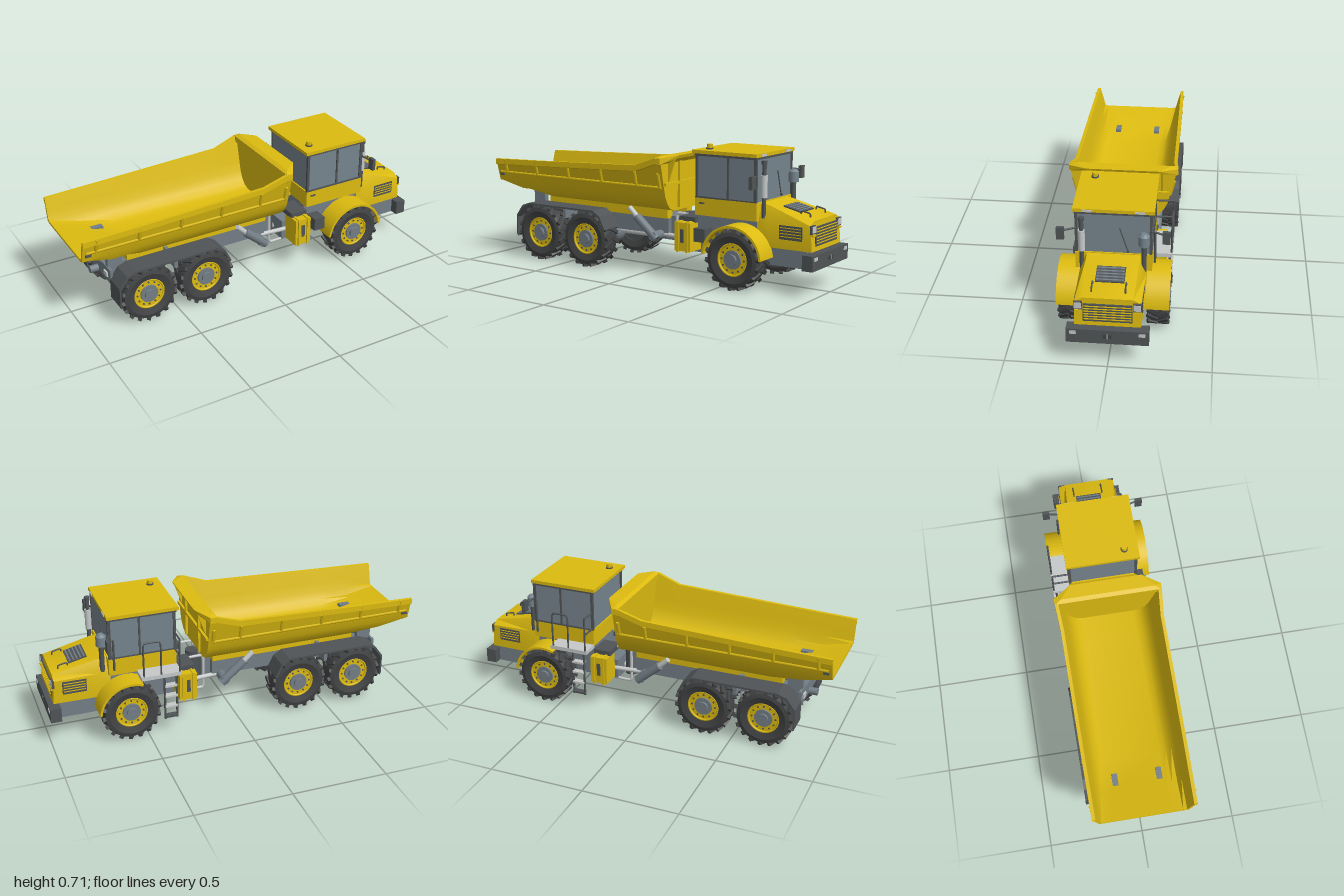
import * as THREE from 'three';
import { mergeGeometries, toCreasedNormals } from 'three/addons/utils/BufferGeometryUtils.js';
import { ConvexGeometry } from 'three/addons/geometries/ConvexGeometry.js';

const mat = (name, color, side = THREE.FrontSide) => {
  const m = new THREE.MeshStandardMaterial({ color, side });
  m.name = name;
  return m;
};
const V = (x, y, z) => new THREE.Vector3(x, y, z);
const SIDES = [1, -1];

export function createModel() {
  const yellow = mat('yellowPaint', 0xdcbb10, THREE.DoubleSide);
  const grey = mat('chassisGrey', 0x737e86);
  const glass = mat('glass', 0x76848d);
  const dark = mat('darkTrim', 0x505456, THREE.DoubleSide);
  const rubber = mat('rubber', 0x424344, THREE.DoubleSide);
  const light = mat('lightGrey', 0xc6c9c9);

  const truck = new THREE.Group();
  truck.name = 'dumpTruck';
  const add = (name, geo, m, parent = truck) => {
    const mesh = new THREE.Mesh(geo, m);
    mesh.name = name;
    parent.add(mesh);
    return mesh;
  };
  // box from its limits
  const box = (name, m, x0, x1, y0, y1, z0, z1, parent) => {
    const b = add(name, new THREE.BoxGeometry(x1 - x0, y1 - y0, Math.abs(z1 - z0)), m, parent);
    b.position.set((x0 + x1) / 2, (y0 + y1) / 2, (z0 + z1) / 2);
    return b;
  };
  // cylinder between two points
  const rod = (name, m, a, b, r, r2 = r, n = 14) => {
    const c = add(name, new THREE.CylinderGeometry(r2, r, a.distanceTo(b), n), m);
    c.position.copy(a).lerp(b, 0.5);
    c.quaternion.setFromUnitVectors(V(0, 1, 0), b.clone().sub(a).normalize());
    return c;
  };
  const pipe = (name, m, pts, r) =>
    add(name, new THREE.TubeGeometry(new THREE.CatmullRomCurve3(pts, false, 'catmullrom', 0.1), 24, r, 8), m);
  // surface through rows of points
  const grid = (name, m, rows) => {
    const n = rows[0].length, idx = [];
    for (let i = 0; i < rows.length - 1; i++) for (let j = 0; j < n - 1; j++) {
      const a = i * n + j;
      idx.push(a, a + 1, a + n, a + 1, a + n + 1, a + n);
    }
    const g = new THREE.BufferGeometry().setFromPoints(rows.flat());
    g.setIndex(idx);
    return add(name, toCreasedNormals(g, 0.6), m);
  };

  // ---- Wheels
  const tyreProfile = [[0.085, -0.045], [0.12, -0.055], [0.14, -0.05], [0.147, -0.032], [0.147, 0.032],
    [0.14, 0.05], [0.12, 0.055], [0.085, 0.045], [0.085, -0.045]].map(p => new THREE.Vector2(...p));
  const tyreGeo = toCreasedNormals(new THREE.LatheGeometry(tyreProfile, 40).rotateX(Math.PI / 2), 0.5);
  const lugs = [];
  for (let i = 0; i < 18; i++) for (const s of SIDES) {
    const g = new THREE.BoxGeometry(0.02, 0.016, 0.056).rotateY(s * 0.55).translate(0, 0.147, s * 0.027);
    lugs.push(g.rotateZ((i + (s > 0 ? 0 : 0.5)) * Math.PI / 9));
  }
  const lugGeo = mergeGeometries(lugs);
  const disc = (r, z0, z1, n = 32) =>
    new THREE.CylinderGeometry(r, r, z1 - z0, n).rotateX(Math.PI / 2).translate(0, 0, (z0 + z1) / 2);
  for (const x of [0.59, -0.342, -0.668]) for (const s of SIDES) {
    const w = new THREE.Group();
    w.name = 'wheel';
    w.position.set(x, 0.155, s * 0.221);
    if (s < 0) w.rotation.y = Math.PI;
    add('tyre', tyreGeo, rubber, w);
    add('treadLugs', lugGeo, rubber, w);
    add('innerDisc', disc(0.086, -0.035, 0.02), dark, w);
    add('rim', disc(0.085, 0.02, 0.036), yellow, w);
    add('rimRing', new THREE.TorusGeometry(0.081, 0.006, 8, 32).translate(0, 0, 0.04), yellow, w);
    add('hub', disc(0.048, 0.03, 0.046), grey, w);
    add('hubCap', disc(0.028, 0.04, 0.058), grey, w);
    const nuts = [];
    for (let i = 0; i < 12; i++) nuts.push(disc(0.005, 0.034, 0.04, 8).translate(0.064, 0, 0).rotateZ(i * Math.PI / 6));
    add('wheelNuts', mergeGeometries(nuts), dark, w);
    truck.add(w);
  }
  for (const x of [0.59, -0.342, -0.668]) {
    rod('axle', grey, V(x, 0.155, -0.19), V(x, 0.155, 0.19), 0.034);
    add('differential', new THREE.SphereGeometry(0.058, 20, 14), grey).position.set(x, 0.155, 0);
  }

  // ---- Rear frame, articulation and front frame
  for (const s of SIDES) {
    box('rearRail', grey, -0.82, 0.1, 0.2, 0.29, s * 0.07, s * 0.11);
    box('bodyRunner', yellow, -0.72, 0.1, 0.29, 0.345, s * 0.07, s * 0.12);
    box('hingeBracket', grey, -0.83, -0.75, 0.28, 0.39, s * 0.1, s * 0.13);
    rod('hoistBarrel', grey, V(0.07, 0.185, s * 0.175), V(-0.06, 0.295, s * 0.175), 0.023);
    rod('hoistRod', light, V(-0.06, 0.295, s * 0.175), V(-0.108, 0.34, s * 0.175), 0.014);
    rod('steeringCylinder', light, V(0.06, 0.2, s * 0.1), V(0.3, 0.2, s * 0.12), 0.012);
    rod('suspensionStrut', light, V(-0.505, 0.15, s * 0.09), V(-0.505, 0.27, s * 0.09), 0.018);
    pipe('guardFrame', light, [V(0.25, 0.32, s * 0.09), V(0.145, 0.32, s * 0.09), V(0.145, 0.13, s * 0.09), V(0.25, 0.13, s * 0.09)], 0.008);
  }
  for (const x of [-0.81, -0.505, -0.16, 0.04]) box('crossMember', grey, x - 0.025, x + 0.025, 0.21, 0.28, -0.09, 0.09);
  rod('hoistPivot', grey, V(0.05, 0.2, -0.19), V(0.05, 0.2, 0.19), 0.025);
  box('articulationBlock', grey, 0.03, 0.15, 0.17, 0.3, -0.08, 0.08);
  rod('articulationPin', dark, V(0.18, 0.13, 0), V(0.18, 0.32, 0), 0.035);
  rod('driveShaft', light, V(-0.668, 0.17, 0), V(0.45, 0.17, 0), 0.017);
  rod('towHitch', grey, V(-0.88, 0.22, 0), V(-0.82, 0.22, 0), 0.02);
  box('frontFrame', grey, 0.22, 0.95, 0.13, 0.24, -0.1, 0.1);
  box('engineSidePanel', grey, 0.74, 0.94, 0.13, 0.225, -0.15, 0.15);
  box('engineGuard', dark, 0.7, 0.94, 0.118, 0.13, -0.09, 0.09);
  box('cabBase', grey, 0.32, 0.7, 0.21, 0.35, -0.16, 0.16);

  // ---- Side tanks
  for (const s of SIDES) {
    box('sideTank', yellow, 0.225, 0.32, 0.155, 0.305, s * 0.13, s * 0.235);
    for (const x of [0.245, 0.3]) box('tankStrap', yellow, x - 0.006, x + 0.006, 0.15, 0.31, s * 0.13, s * 0.242);
    box('tankLabel', dark, 0.262, 0.282, 0.2, 0.27, s * 0.235, s * 0.238);
    box('tankBridge', dark, 0.225, 0.32, 0.3, 0.33, s * 0.06, s * 0.19);
  }
  box('batteryBox', dark, 0.345, 0.41, 0.215, 0.285, 0.16, 0.238);

  // ---- Dump body: curved shell with the floor rising at the tail
  const section = (x, w, rim, floor, t) => {
    const half = [[0.15, 0.345], [0.185, 0.357], [0.212, 0.385], [0.232, 0.425], [0.246, 0.48], [w, rim - t]]
      .map(([z, y]) => V(x, Math.max(y, floor) + t, z - t));
    return [...half.slice().reverse(), ...half.map(p => V(x, p.y, -p.z))];
  };
  const stations = [[-1, 0.262, 0.55, 0.42], [-0.84, 0.264, 0.555, 0.384], [-0.67, 0.266, 0.56, 0.345],
    [0, 0.27, 0.585, 0.345], [0.13, 0.28, 0.63, 0.345], [0.165, 0.281, 0.63, 0.345]];
  const outer = stations.map(s => section(...s, 0)), inner = stations.map(s => section(...s, 0.012));
  grid('bodyOuter', yellow, outer);
  grid('bodyInner', yellow, inner);
  grid('bodyTailEdge', yellow, [outer[0], inner[0]]);
  const last = outer[5];
  for (const x of [0.14, 0.165]) {
    const row = last.map(p => V(x, p.y, p.z));
    grid('headboard', yellow, [row.slice(0, 6), row.slice(6).reverse()]);
  }
  for (const s of SIDES) {
    // rim rail along the top, lower rail and ribs on the flank
    const rim = stations.map(([x, w, y]) => V(x, y, s * w));
    grid('rimRail', yellow, [[-0.014, 0], [0.004, 0], [0.004, -0.03], [-0.008, -0.034]].map(([dz, dy]) =>
      rim.map(p => V(p.x, p.y + dy, p.z + s * dz))));
    rod('flankRail', yellow, V(-0.98, 0.475, s * 0.244), V(0.15, 0.475, s * 0.246), 0.008, 0.008, 6);
    for (const x of [-0.93, -0.7, -0.47, -0.24, -0.01, 0.14])
      rod('flankRib', yellow, V(x, 0.475, s * 0.246), V(x, 0.55, s * 0.264), 0.01, 0.01, 4);
    box('sideMarker', dark, -0.985, -0.955, 0.455, 0.468, s * 0.24, s * 0.25);
    box('headboardRib', yellow, 0.16, 0.178, 0.36, 0.62, s * 0.1, s * 0.118);
    add('canopyGusset', new ConvexGeometry([0.198, 0.208].flatMap(z =>
      [V(0.165, 0.5, s * z), V(0.165, 0.63, s * z), V(0.21, 0.63, s * z)])), yellow);
  }
  box('headboardBeam', yellow, 0.16, 0.178, 0.485, 0.5, -0.243, 0.243);
  add('spillCanopy', new ConvexGeometry(SIDES.flatMap(s => [V(0.13, 0.6, s * 0.27), V(0.13, 0.632, s * 0.28),
    V(0.165, 0.6, s * 0.283), V(0.165, 0.632, s * 0.283), V(0.15, 0.643, s * 0.25), V(0.222, 0.645, s * 0.19), V(0.215, 0.628, s * 0.19)])), yellow);

  // ---- Rear mudguards
  const guard = [[-0.835, 0.13], [-0.835, 0.24], [-0.79, 0.3], [-0.74, 0.318], [-0.28, 0.318], [-0.235, 0.29], [-0.2, 0.22]];
  const strip = new THREE.Shape([...guard.map(p => new THREE.Vector2(...p)),
    ...guard.slice().reverse().map(([x, y]) => new THREE.Vector2(x + (x < -0.5 ? 0.008 : -0.008), y - 0.01))]);
  for (const s of SIDES) {
    add('rearMudguard', new THREE.ExtrudeGeometry(strip, { depth: 0.12, bevelEnabled: false }), dark)
      .position.z = s > 0 ? 0.16 : -0.28;
    box('mudguardBracket', grey, -0.515, -0.495, 0.25, 0.31, s * 0.1, s * 0.25);
    box('tailLamp', light, -0.843, -0.835, 0.24, 0.265, s * 0.1, s * 0.14);
    box('tailLampPlate', grey, -0.835, -0.82, 0.21, 0.29, s * 0.06, s * 0.17);
  }

  // ---- Front fenders
  for (const s of SIDES) {
    const end = s > 0 ? Math.PI * 0.97 : Math.PI * 0.62, arc = new THREE.Shape();
    arc.absarc(0, 0, 0.172, 0.09, end, false);
    arc.absarc(0, 0, 0.16, end, 0.09, true);
    add('frontFender', toCreasedNormals(new THREE.ExtrudeGeometry(arc, { depth: 0.125, bevelEnabled: false, curveSegments: 24 }), 0.5), yellow)
      .position.set(0.588, 0.155, s > 0 ? 0.155 : -0.28);
  }

  // ---- Hood
  const hoodRow = (x, zt, yt, zs, ys, xb = x) => [V(xb, 0.22, zs), V(x, ys, zs), V(x, yt, zt), V(x, yt, -zt), V(x, ys, -zs), V(xb, 0.22, -zs)];
  const hoodFront = hoodRow(0.962, 0.12, 0.368, 0.158, 0.348, 0.972);
  grid('hood', yellow, [hoodRow(0.67, 0.13, 0.435, 0.162, 0.36), hoodRow(0.73, 0.13, 0.422, 0.162, 0.355), hoodFront]);
  grid('hoodFront', yellow, [hoodFront.slice(0, 3), hoodFront.slice(3).reverse()]);
  box('grille', dark, 0.966, 0.973, 0.243, 0.34, -0.117, 0.117);
  for (let i = 0; i < 6; i++) box('grilleSlat', yellow, 0.97, 0.977, 0.255 + i * 0.0145, 0.259 + i * 0.0145, -0.113, 0.113);
  const topVent = new THREE.Group();
  topVent.name = 'hoodTopVent';
  topVent.position.set(0.815, 0.4045, 0);
  topVent.rotation.z = -0.229;
  truck.add(topVent);
  box('ventPanel', dark, -0.05, 0.05, -0.004, 0.004, -0.07, 0.07, topVent);
  for (let i = 0; i < 5; i++) box('ventSlat', grey, -0.042 + i * 0.019, -0.034 + i * 0.019, 0.003, 0.007, -0.066, 0.066, topVent);
  for (const s of SIDES) {
    box('sideVent', dark, 0.795, 0.92, 0.268, 0.338, s * 0.156, s * 0.163);
    for (let i = 0; i < 4; i++) box('sideVentSlat', yellow, 0.8, 0.915, 0.281 + i * 0.0145, 0.285 + i * 0.0145, s * 0.16, s * 0.166);
    box('headlamp', light, 0.963, 0.976, 0.314, 0.346, s * 0.122, s * 0.157);
    box('headlampFrame', dark, 0.96, 0.973, 0.308, 0.35, s * 0.119, s * 0.16);
    box('indicator', yellow, 0.963, 0.978, 0.296, 0.306, s * 0.124, s * 0.155);
    pipe('hoodHandle', dark, [V(0.87, 0.385, s * 0.08), V(0.875, 0.405, s * 0.08), V(0.92, 0.395, s * 0.08), V(0.922, 0.376, s * 0.08)], 0.004);
    box('bumperLamp', light, 0.995, 1, 0.183, 0.2, s * 0.148, s * 0.18);
  }
  box('bumper', dark, 0.94, 0.997, 0.133, 0.21, -0.197, 0.197);
  box('towPocket', rubber, 0.99, 0.999, 0.163, 0.186, -0.022, 0.022);
  rod('towPin', light, V(0.997, 0.162, 0), V(0.997, 0.187, 0), 0.003);

  // ---- Cab
  box('cabLower', yellow, 0.32, 0.68, 0.345, 0.437, -0.187, 0.187);
  box('cabGlass', glass, 0.328, 0.672, 0.43, 0.66, -0.181, 0.181);
  box('cabRoof', yellow, 0.305, 0.682, 0.662, 0.68, -0.197, 0.197);
  box('roofSeal', dark, 0.317, 0.678, 0.65, 0.663, -0.19, 0.19);
  for (const s of SIDES) {
    for (const [a, b] of [[0.32, 0.334], [0.508, 0.518], [0.662, 0.678]]) box('cabPillar', dark, a, b, 0.435, 0.655, s * 0.174, s * 0.187);
    box('windowSill', dark, 0.32, 0.678, 0.435, 0.443, s * 0.174, s * 0.187);
    box('roofLamp', light, 0.68, 0.686, 0.665, 0.676, s * 0.103, s * 0.15);
    rod('mirrorArm', dark, V(0.675, 0.57, s * 0.18), V(0.695, 0.562, s * 0.25), 0.005);
    box('mirror', dark, 0.685, 0.703, 0.515, 0.58, s * 0.237, s * 0.275);
  }
  box('doorHandle', dark, 0.345, 0.375, 0.405, 0.413, 0.187, 0.192);
  rod('beaconBase', dark, V(0.365, 0.68, 0.122), V(0.365, 0.687, 0.122), 0.019);
  rod('beacon', yellow, V(0.365, 0.687, 0.122), V(0.365, 0.706, 0.122), 0.015);
  rod('wiper', dark, V(0.677, 0.45, -0.07), V(0.677, 0.578, -0.03), 0.003);
  rod('wiperPivot', dark, V(0.672, 0.45, -0.07), V(0.684, 0.45, -0.07), 0.006);

  // ---- Exhaust and air cleaner
  rod('exhaustPipe', dark, V(0.702, 0.36, 0.152), V(0.702, 0.645, 0.152), 0.011);
  rod('muffler', light, V(0.702, 0.463, 0.152), V(0.702, 0.575, 0.152), 0.017);
  rod('exhaustTip', dark, V(0.702, 0.628, 0.152), V(0.702, 0.646, 0.152), 0.015);
  rod('intakePipe', dark, V(0.706, 0.36, -0.15), V(0.706, 0.51, -0.15), 0.013);
  rod('airCleaner', glass, V(0.706, 0.508, -0.15), V(0.706, 0.56, -0.15), 0.027, 0.027, 20);
  rod('airCleanerCap', glass, V(0.706, 0.56, -0.15), V(0.706, 0.573, -0.15), 0.027, 0.014, 20);

  // ---- Access platform, ladder and handrails
  box('platform', light, 0.32, 0.535, 0.333, 0.354, -0.28, -0.18);
  for (const x of [0.345, 0.41]) rod('ladderRail', dark, V(x, 0.08, -0.262), V(x, 0.335, -0.262), 0.006);
  for (const y of [0.09, 0.15, 0.21, 0.27]) box('ladderStep', y < 0.1 ? dark : light, 0.345, 0.41, y, y + 0.01, -0.278, -0.245);
  for (const x of [0.33, 0.43])
    pipe('handrail', dark, [V(x, 0.345, -0.275), V(x, 0.54, -0.275), V(x + 0.09, 0.54, -0.275), V(x + 0.09, 0.345, -0.275)].slice(0, x < 0.4 ? 2 : 4), 0.005);
  for (const y of [0.445, 0.54]) rod('handrailBar', dark, V(0.33, y, -0.275), V(0.33, y, -0.185), 0.005);
  rod('grabRail', dark, V(0.655, 0.38, -0.2), V(0.655, 0.55, -0.2), 0.006);

  return truck;
}
